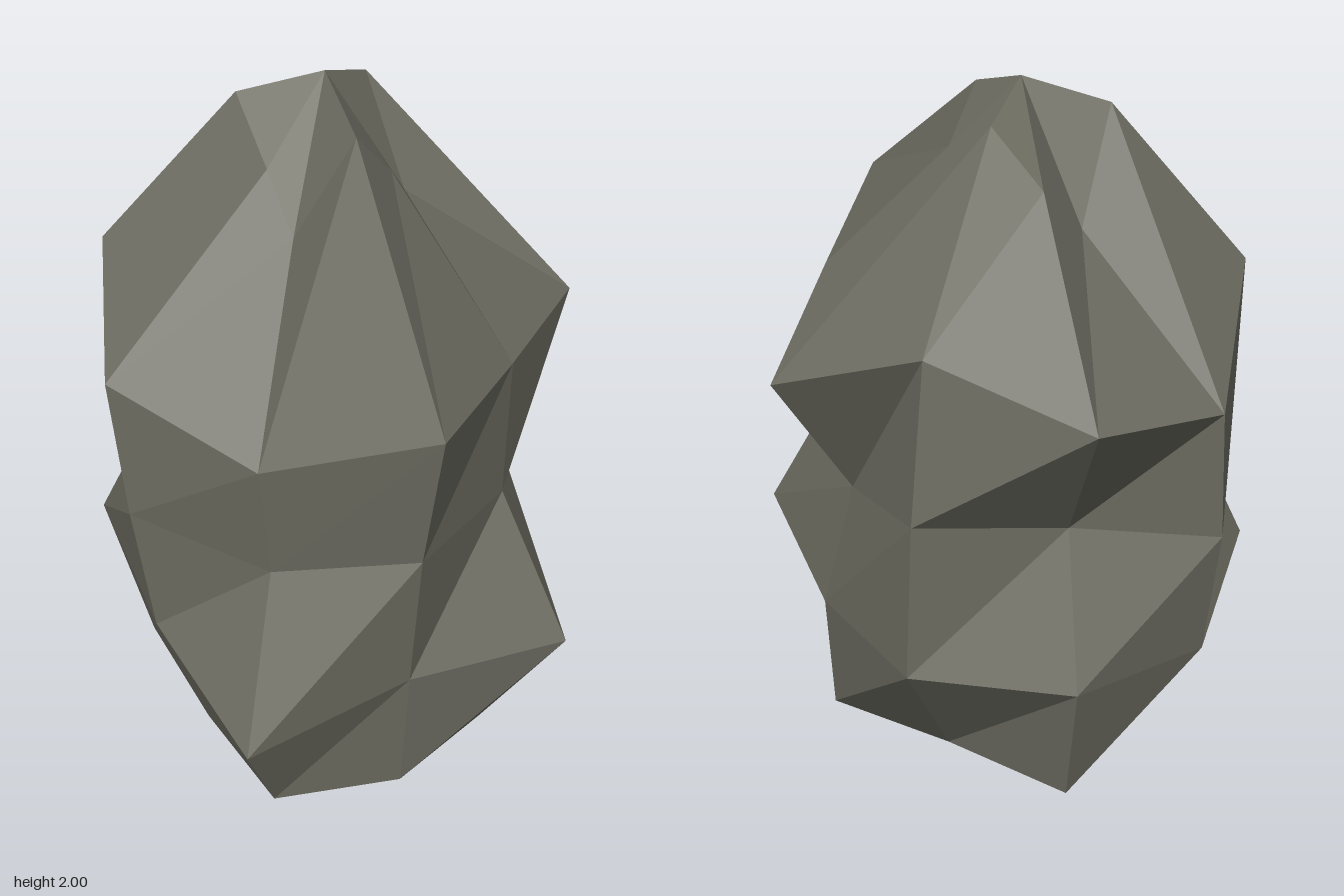
import * as THREE from 'three';

// Five jagged rings of the boulder, nine [x, z] corners each, starting at the front and turning towards +x
const rings = [
  { y: 0, pts: [[-0.02, 0.655], [0.3, 0.49], [0.535, 0.11], [0.32, -0.24], [0.13, -0.615], [-0.22, -0.4], [-0.57, -0.2], [-0.5, 0.23], [-0.4, 0.61]] },
  { y: 0.48, pts: [[-0.02, 0.71], [0.48, 0.67], [0.565, 0.08], [0.565, -0.475], [0.17, -0.73], [-0.29, -0.665], [-0.68, -0.3], [-0.64, 0.23], [-0.52, 0.785]] },
  { y: 0.96, pts: [[-0.01, 0.75], [0.34, 0.46], [0.48, 0.03], [0.54, -0.475], [0.11, -0.57], [-0.3, -0.715], [-0.475, -0.21], [-0.69, 0.23], [-0.36, 0.5]] },
  { y: 1.44, pts: [[0, 0.85], [0.35, 0.45], [0.72, 0.01], [0.49, -0.465], [0.2, -0.85], [-0.27, -0.73], [-0.6, -0.34], [-0.72, 0.2], [-0.4, 0.55]] },
  { y: 1.92, pts: [[0, 0.15], [0.12, 0.09], [0.21, -0.05], [0.145, -0.2], [0.06, -0.33], [-0.09, -0.28], [-0.23, -0.19], [-0.195, -0.02], [-0.16, 0.1]] },
];
const PEAK = [-0.01, 2, -0.085];
const STEPS = [1, 0.92, 0.84]; // repeating height drop around each ring

export function createModel() {
  const sides = 9;
  const corner = (r, k) => {
    k %= sides;
    const [x, z] = rings[r].pts[k];
    return [x, rings[r].y * STEPS[k % 3], z];
  };

  const verts = [];
  const tri = (a, b, c) => verts.push(...a, ...b, ...c);
  for (let k = 0; k < sides; k++) {
    // Walls between neighbouring rings
    for (let r = 0; r < rings.length - 1; r++) {
      tri(corner(r, k), corner(r, k + 1), corner(r + 1, k + 1));
      tri(corner(r, k), corner(r + 1, k + 1), corner(r + 1, k));
    }
    // Cap rising to the peak; the underside stays open
    tri(corner(4, k), corner(4, k + 1), PEAK);
  }

  const geometry = new THREE.BufferGeometry();
  geometry.setAttribute('position', new THREE.Float32BufferAttribute(verts, 3));
  geometry.computeVertexNormals();

  const stone = new THREE.MeshStandardMaterial({ color: 0x6e6e63, flatShading: true, side: THREE.DoubleSide });
  stone.name = 'stone grey';

  const boulder = new THREE.Mesh(geometry, stone);
  boulder.name = 'boulder';

  const group = new THREE.Group();
  group.name = 'rock';
  group.add(boulder);
  return group;
}
